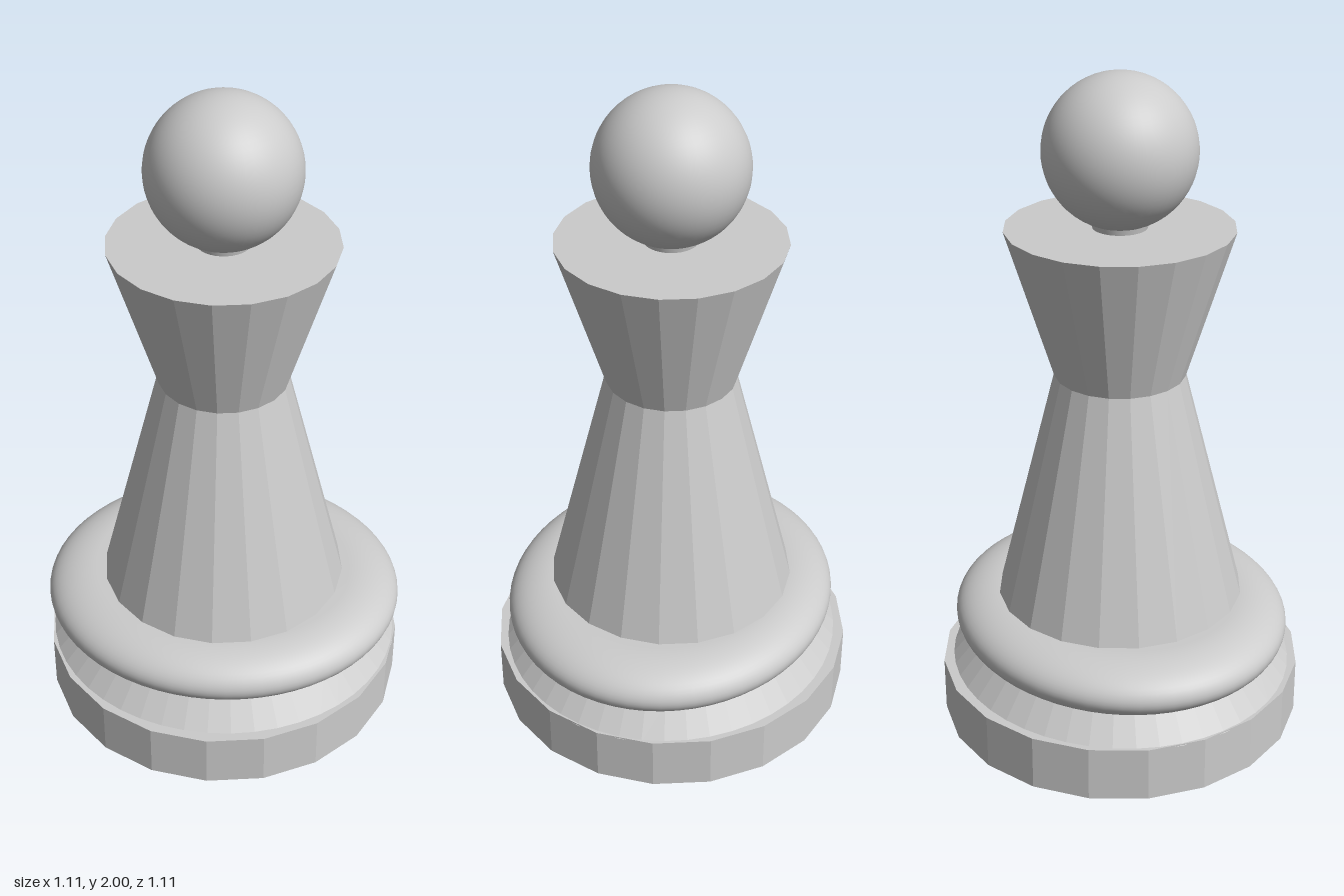
import * as THREE from 'three';

const SIDES = 20;

export function createModel() {
  const model = new THREE.Group();
  const faceted = new THREE.MeshStandardMaterial({ color: 0xcccccc, flatShading: true });
  const smooth = new THREE.MeshStandardMaterial({ color: 0xcccccc });

  const add = (name, geometry, material, y = 0) => {
    const mesh = new THREE.Mesh(geometry, material);
    mesh.name = name;
    mesh.position.y = y;
    model.add(mesh);
    return mesh;
  };

  // Faceted cone section between two heights
  const section = (name, y0, r0, y1, r1, sides = SIDES) =>
    add(name, new THREE.CylinderGeometry(r1, r0, y1 - y0, sides), faceted, (y0 + y1) / 2);

  // Foot: faceted disc with a slightly oval bevel above it
  section('base', 0, 0.553, 0.17, 0.553);
  section('baseBevel', 0.165, 0.522, 0.25, 0.45, 48).scale.x = 1.05;

  // Flattened oval cushion ring, closed towards the axis
  const profile = [new THREE.Vector2(0, -0.083)];
  for (let i = 0; i <= 24; i++) {
    const a = -Math.PI / 2 + (Math.PI * i) / 24;
    profile.push(new THREE.Vector2(0.36 + 0.14 * Math.cos(a), 0.083 * Math.sin(a)));
  }
  profile.push(new THREE.Vector2(0, 0.083));
  add('cushionRing', new THREE.LatheGeometry(profile, 64), smooth, 0.317).scale.x = 1.105;

  // Tapered body and flared collar meeting at the waist
  section('body', 0.38, 0.378, 1.115, 0.193);
  section('collar', 1.115, 0.193, 1.56, 0.331);

  // Short neck and ball head
  add('neck', new THREE.CylinderGeometry(0.085, 0.078, 0.035, 32), smooth, 1.573);
  add('head', new THREE.SphereGeometry(0.22, 48, 32), smooth, 1.78);

  return model;
}
